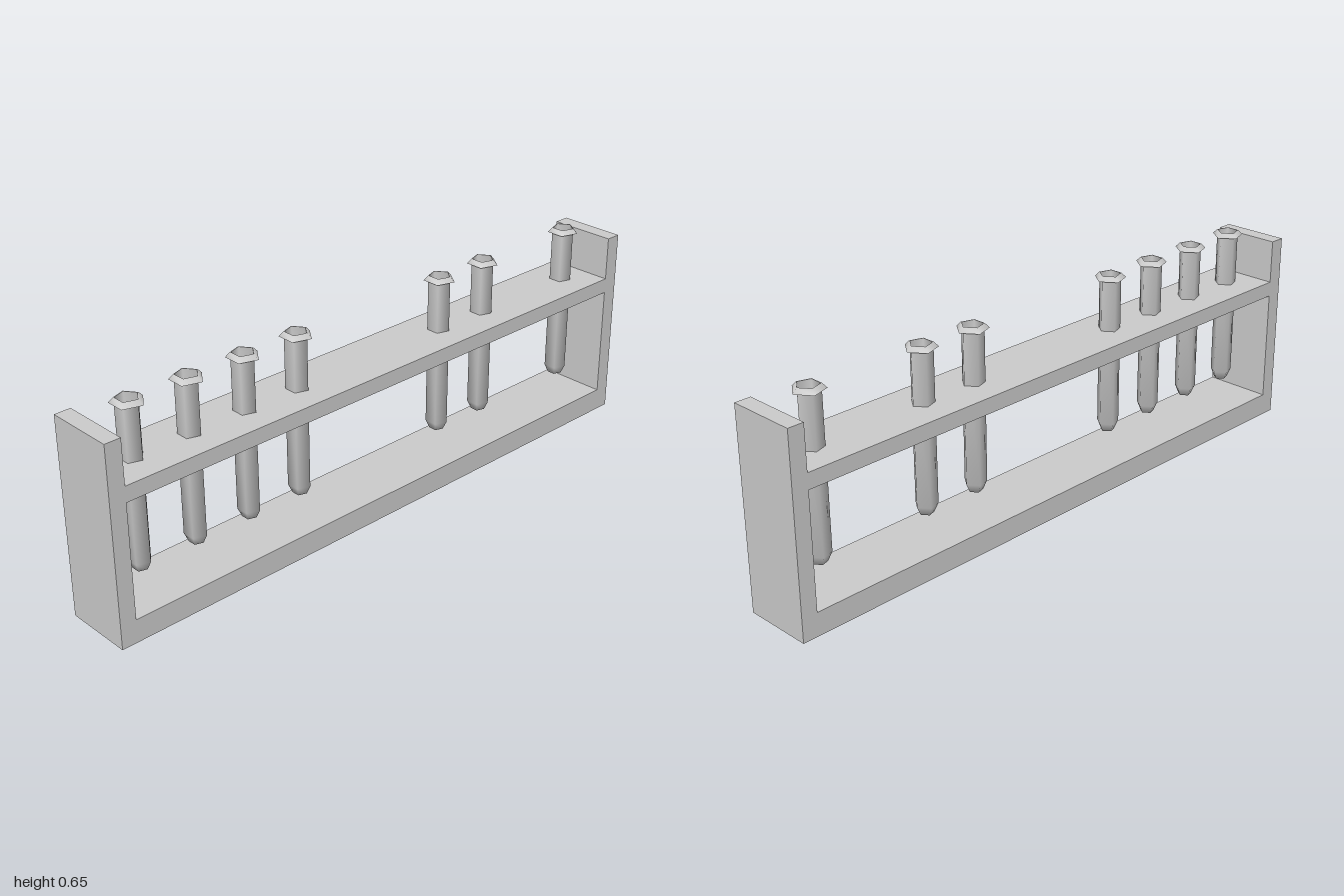
import * as THREE from 'three';
import { toCreasedNormals } from 'three/addons/utils/BufferGeometryUtils.js';

const WIDTH = 0.216;
const TUBE_R = 0.0345;
const SPACING = 0.189;
const FILLED_SLOTS = [0, 1, 2, 3, 6, 7, 9];

const points = (list) => list.map(([x, y]) => new THREE.Vector2(x, y));

export function createModel() {
  const group = new THREE.Group();
  const material = new THREE.MeshStandardMaterial({ color: 0xcccccc });
  const add = (name, geometry) => {
    const mesh = new THREE.Mesh(geometry, material);
    mesh.name = name;
    group.add(mesh);
    return mesh;
  };
  const slots = FILLED_SLOTS.map((i) => 0.85 - SPACING * i);

  // U-shaped frame: base board and two upright end boards
  const frameShape = new THREE.Shape(points([
    [-1, 0], [1, 0], [1, 0.613], [0.95, 0.613],
    [0.95, 0.072], [-0.95, 0.072], [-0.95, 0.613], [-1, 0.613],
  ]));
  const frame = new THREE.ExtrudeGeometry(frameShape, { depth: WIDTH, bevelEnabled: false });
  frame.translate(0, 0, -WIDTH / 2).rotateY(-Math.PI / 2);
  add('frame', frame);

  // Shelf with a five-sided hole for each tube
  const w = WIDTH / 2;
  const shelfShape = new THREE.Shape(points([[-w, -0.95], [w, -0.95], [w, 0.95], [-w, 0.95]]));
  for (const z of slots) {
    const corners = [];
    for (let k = 0; k < 5; k++) {
      const a = (k / 5) * Math.PI * 2;
      corners.push([TUBE_R * Math.sin(a), -z + TUBE_R * Math.cos(a)]);
    }
    shelfShape.holes.push(new THREE.Path(points(corners)));
  }
  const shelf = new THREE.ExtrudeGeometry(shelfShape, { depth: 0.048, bevelEnabled: false });
  shelf.rotateX(-Math.PI / 2).translate(0, 0.427, 0);
  add('shelf', shelf);

  // Hollow five-sided tube with tapered bottom and flared lip
  const profile = points([
    [0, 0.135], [0.022, 0.138], [TUBE_R, 0.165], [TUBE_R, 0.636],
    [0.049, 0.636], [0.0355, 0.65], [0.033, 0.65], [0.033, 0.167], [0.02, 0.142], [0, 0.14],
  ]);
  const tube = toCreasedNormals(new THREE.LatheGeometry(profile, 5, Math.PI), 1.3);
  slots.forEach((z, i) => {
    add(`testTube${i + 1}`, tube).position.z = z;
  });

  return group;
}
